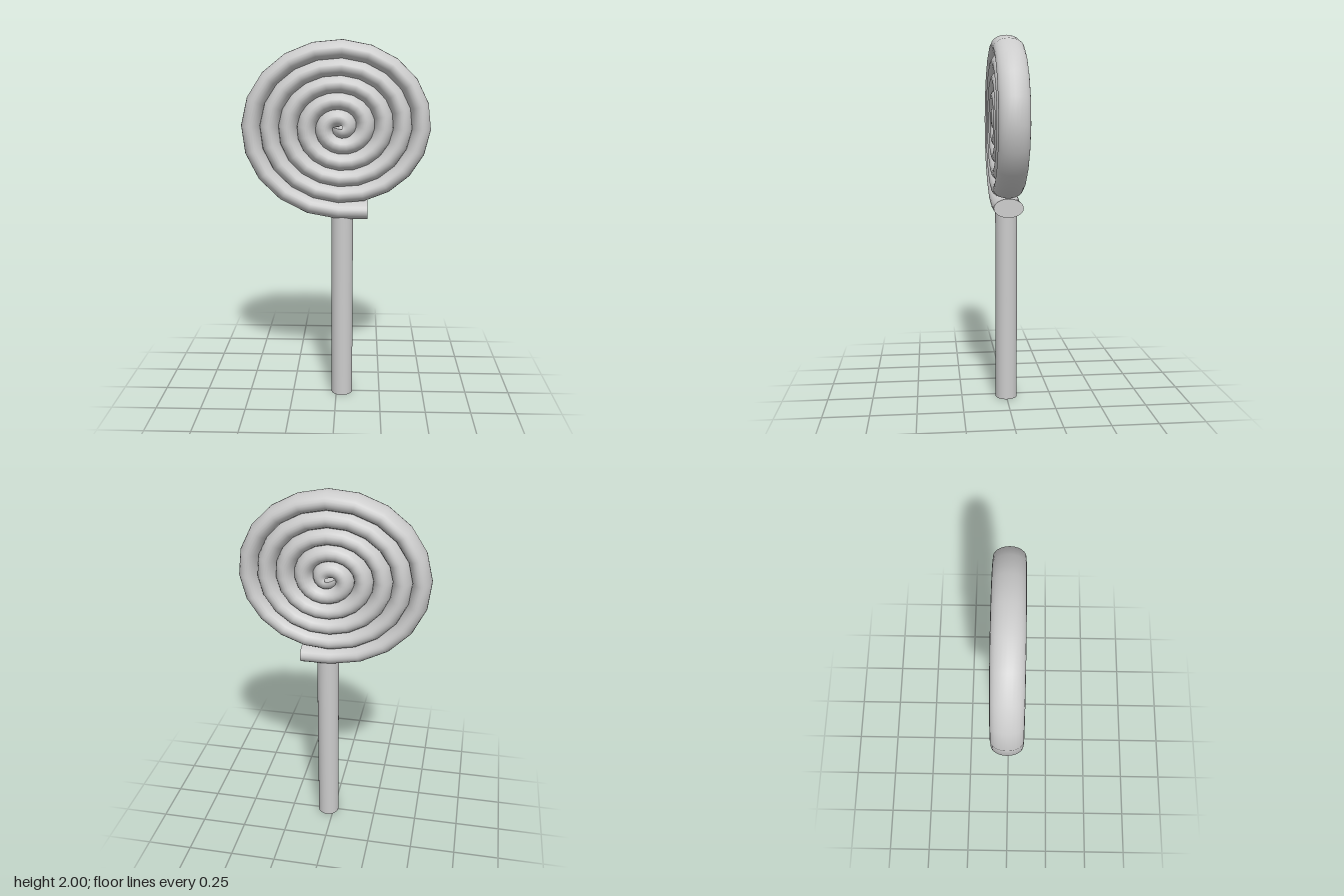
import * as THREE from 'three';

const RADIUS = 0.051, DEPTH = 0.08;
const T0 = 0.027, T_BOTTOM = 5.08, T1 = 5.127; // measured in turns
const CX = 0.022, CY = 1.542, PX = 0.1, PY = 0.089;

// Slightly squashed spiral that leaves its lowest point on a straight tangent
class CandySpiral extends THREE.Curve {
  getPoint(u, target = new THREE.Vector3()) {
    const t = T0 + (T1 - T0) * u;
    if (t > T_BOTTOM) {
      const speed = 2 * Math.PI * PX * T_BOTTOM;
      return target.set(CX + speed * (t - T_BOTTOM), CY - PY * T_BOTTOM, 0);
    }
    const a = 2 * Math.PI * (t - 4.33);
    return target.set(CX + PX * t * Math.cos(a), CY + PY * t * Math.sin(a), 0);
  }
  // equal angle steps rather than equal lengths
  getUtoTmapping(u) { return u; }
}

export function createModel() {
  const group = new THREE.Group();
  const material = new THREE.MeshStandardMaterial({ color: 0xcccccc });
  const add = (name, geometry) => {
    const mesh = new THREE.Mesh(geometry, material);
    mesh.name = name;
    group.add(mesh);
    return mesh;
  };

  // Rolled candy rope, oval in section
  const path = new CandySpiral();
  const rope = new THREE.TubeGeometry(path, 102, RADIUS, 24, false);
  rope.scale(1, 1, DEPTH / RADIUS);
  add('candySpiral', rope);

  // Flat caps on both ends of the rope
  for (const [name, u, sign] of [['innerCap', 0, -1], ['outerCap', 1, 1]]) {
    const cap = add(name, new THREE.CircleGeometry(1, 24).rotateY(Math.PI / 2).scale(1, RADIUS, DEPTH));
    const dir = path.getTangent(u).multiplyScalar(sign);
    cap.rotation.z = Math.atan2(dir.y, dir.x);
    cap.position.copy(path.getPoint(u));
  }

  // Stick
  const stickHeight = 1.07;
  add('stick', new THREE.CylinderGeometry(0.06, 0.06, stickHeight, 32)).position.set(0.032, stickHeight / 2, 0);

  return group;
}
